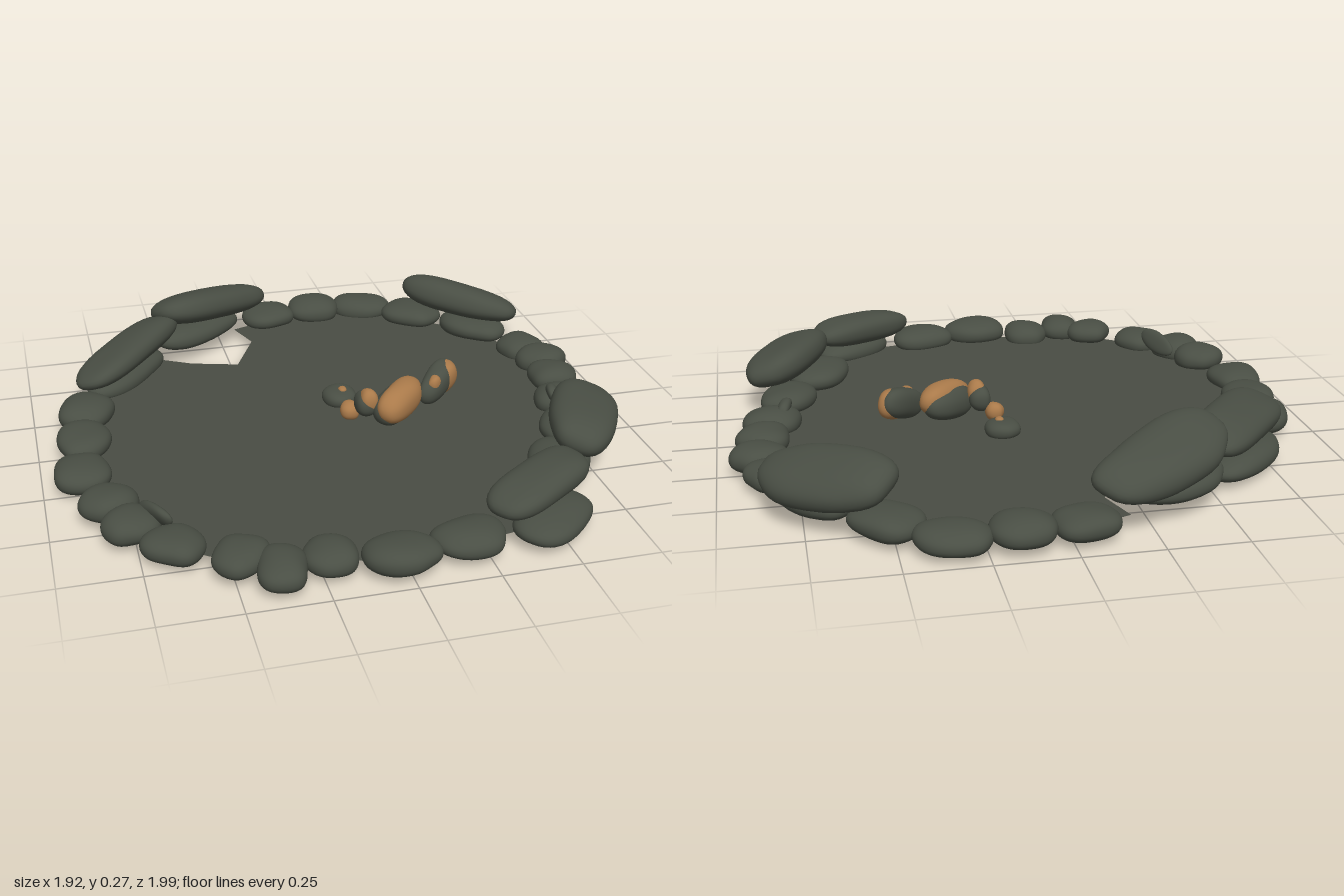
import * as THREE from 'three';
import { mergeVertices } from 'three/addons/utils/BufferGeometryUtils.js';

const stoneMat = new THREE.MeshStandardMaterial({ name: 'mossy stone', color: 0x494e44 });
const floorMat = new THREE.MeshStandardMaterial({ name: 'ash floor', color: 0x494c43, side: THREE.DoubleSide });
const emberMat = new THREE.MeshStandardMaterial({ name: 'orange ember', color: 0xaa7a4a });

// Rounded, slightly boxy pebble with gentle lumps
function pebbleGeometry(hx, hy, hz, seed, power) {
  let g = new THREE.IcosahedronGeometry(1, 6);
  g.deleteAttribute('uv');
  g.deleteAttribute('normal');
  g = mergeVertices(g, 1e-4);
  const p = g.attributes.position;
  const soft = (v, e) => Math.sign(v) * Math.pow(Math.abs(v), e);
  for (let i = 0; i < p.count; i++) {
    const x = p.getX(i), y = p.getY(i), z = p.getZ(i);
    const k = 1 + 0.05 * Math.sin(2.3 * x + seed * 1.7) + 0.05 * Math.sin(2.7 * z + y + seed * 2.9)
      + 0.03 * Math.sin(4 * x - 3 * z + seed);
    p.setXYZ(i, soft(x, power) * hx * k, soft(y, 0.9) * hy * k, soft(z, power) * hz * k);
  }
  g.computeVertexNormals();
  return g;
}

// Pebble whose long axis follows (dx, dz) on the ground, then is pitched and rolled;
// its lumps vary with its place.
function pebble(name, mat, [x, y, z], [hx, hy, hz], [dx, dz] = [1, 0], pitch = 0, roll = 0, power = 0.88) {
  const m = new THREE.Mesh(pebbleGeometry(hx, hy, hz, 9 * x + 13 * z, power), mat);
  m.name = name;
  m.position.set(x, y, z);
  m.rotation.set(roll, Math.atan2(-dz, dx), pitch, 'YZX');
  return m;
}

// Centres (x, z) of the lower stones, clockwise from the back
const ring = [
  [-0.04, -0.885], [0.145, -0.91], [0.35, -0.905], [0.52, -0.765], [0.71, -0.58],
  [0.83, -0.37], [0.865, -0.24], [0.85, -0.09], [0.815, 0.08], [0.75, 0.28],
  [0.62, 0.51], [0.49, 0.81], [0.19, 0.868], [-0.02, 0.9], [-0.225, 0.85],
  [-0.37, 0.885], [-0.48, 0.8], [-0.645, 0.68], [-0.76, 0.555], [-0.815, 0.41],
  [-0.87, 0.185], [-0.845, -0.01], [-0.82, -0.215], [-0.65, -0.52], [-0.35, -0.755],
];

export function createModel() {
  const group = new THREE.Group();
  group.name = 'stone fire ring';

  // Lower ring: each stone follows the curve and fills the gap to its nearer neighbour
  const stones = new THREE.Group();
  stones.name = 'lower ring stones';
  const last = ring.length - 1;
  ring.forEach(([x, z], i) => {
    const [ax, az] = ring[(i + last) % ring.length];
    const [bx, bz] = ring[(i + 1) % ring.length];
    const gap = Math.min(Math.hypot(x - ax, z - az), Math.hypot(bx - x, bz - z));
    const half = Math.max(0.08, 0.54 * gap);
    const y = i === last ? 0.1 : 0.062 + 0.006 * Math.sin(i * 2.1);
    stones.add(pebble('ring stone', stoneMat, [x, y, z], [half, 0.046, 0.092], [bx - ax, bz - az]));
  });
  group.add(stones);

  // Long boulders laid over the ring, most leaning outward:
  // centre, half sizes, direction, pitch, roll
  const top = new THREE.Group();
  top.name = 'upper boulders';
  const boulders = [
    [[-0.64, 0.165, -0.465], [0.275, 0.055, 0.105], [0.62, -0.8], 0.06, -0.3],
    [[-0.295, 0.185, -0.775], [0.245, 0.06, 0.125], [0.82, -0.55], -0.15, -0.35],
    [[0.685, 0.155, -0.645], [0.235, 0.06, 0.115], [0.76, 0.65], -0.1, -0.35],
    [[0.735, 0.17, 0.415], [0.225, 0.063, 0.105], [-0.45, 0.85], 0.02, -0.3],
    [[0.45, 0.155, 0.765], [0.205, 0.055, 0.095], [0.82, -0.57], 0.04, 0],
  ];
  boulders.forEach(([p, s, d, pitch, roll]) =>
    top.add(pebble('boulder', stoneMat, p, s, d, pitch, roll, 0.74)));
  group.add(top);

  // Thin chips leaning on the ring
  group.add(
    pebble('stone chip', stoneMat, [-0.685, 0.09, 0.545], [0.09, 0.035, 0.018], [0.4, 0.9], 0.2, 0.4),
    pebble('stone chip', stoneMat, [0.77, 0.095, 0.1], [0.055, 0.03, 0.02], [-0.2, 1], 0.1, 0.4),
  );

  // Flat floor reaching under the ring, with a broken-out corner at the back
  const notch = [[-0.54, -0.64], [-0.4, -0.56], [-0.235, -0.51], [-0.145, -0.7], [-0.19, -0.83]];
  const outline = [...ring.slice(0, last), ...notch];
  const shape = new THREE.Shape(outline.map(([x, z]) => new THREE.Vector2(x, -z)));
  const floor = new THREE.Mesh(new THREE.ShapeGeometry(shape).rotateX(-Math.PI / 2), floorMat);
  floor.name = 'floor';
  floor.position.y = 0.042;
  group.add(floor);

  // Embers: charred on the back and underside, glowing on the front and top
  const embers = new THREE.Group();
  embers.name = 'embers';
  const slant = [0.7, -0.72];
  embers.add(
    pebble('charred lump', stoneMat, [0.06, 0.058, -0.13], [0.056, 0.034, 0.068]),
    pebble('glowing spot', emberMat, [0.068, 0.085, -0.125], [0.014, 0.012, 0.018]),
    pebble('small ember', emberMat, [0.06, 0.068, 0], [0.032, 0.03, 0.036]),
    pebble('charred lump', stoneMat, [0.108, 0.108, 0.04], [0.04, 0.044, 0.046]),
    pebble('small ember', emberMat, [0.116, 0.122, 0.05], [0.034, 0.044, 0.036]),
    pebble('large ember', emberMat, [0.228, 0.112, 0.05], [0.11, 0.06, 0.06], slant, 0.12),
    pebble('charred underside', stoneMat, [0.215, 0.096, 0.032], [0.11, 0.06, 0.058], slant, 0.12),
    pebble('charred lump', stoneMat, [0.38, 0.13, -0.015], [0.096, 0.055, 0.044], slant, 0.33),
    pebble('ember tip', emberMat, [0.414, 0.136, -0.035], [0.062, 0.054, 0.038], slant, 0.33),
    pebble('glowing spot', emberMat, [0.36, 0.14, 0.022], [0.03, 0.035, 0.02], slant, 0.33),
  );
  group.add(embers);

  return group;
}
